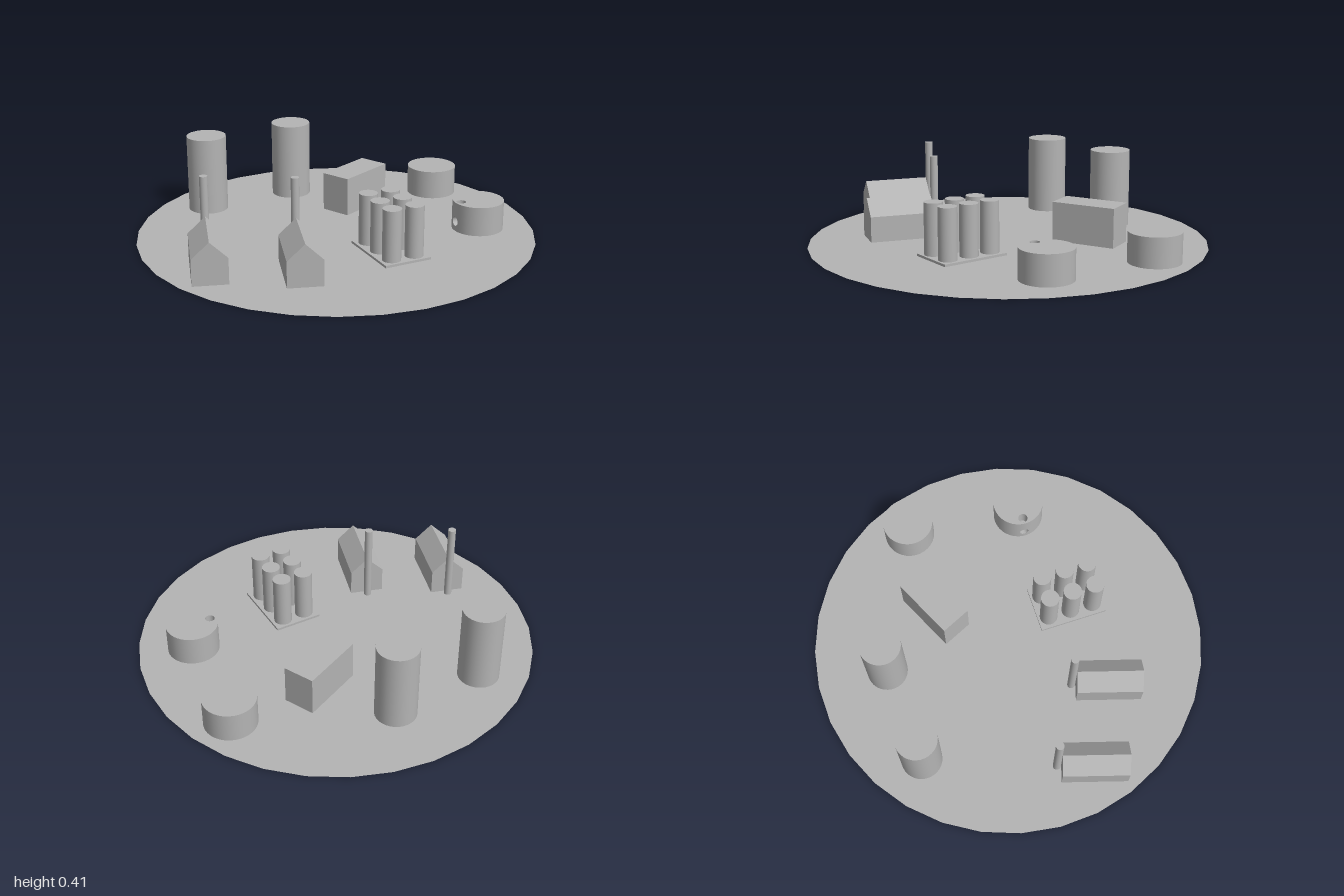
import * as THREE from 'three';

const grey = new THREE.MeshStandardMaterial({ color: 0xb4b4b4, side: THREE.DoubleSide });
grey.name = 'plain grey';

function add(parent, name, geometry, x = 0, y = 0, z = 0) {
  const mesh = new THREE.Mesh(geometry, grey);
  mesh.name = name;
  mesh.position.set(x, y, z);
  parent.add(mesh);
  return mesh;
}

function addGroup(parent, name, x, z, turn = 0) {
  const group = new THREE.Group();
  group.name = name;
  group.position.set(x, 0, z);
  group.rotation.y = turn;
  parent.add(group);
  return group;
}

// Upright cylinder standing at height y
function addCylinder(parent, name, r, h, x, z, y = 0) {
  return add(parent, name, new THREE.CylinderGeometry(r, r, h, 32), x, y + h / 2, z);
}

// Gabled shed with its ridge along z
function addShed(parent, x, z) {
  const shed = addGroup(parent, 'shed', x, z, -0.24);
  const w = 0.085, length = 0.33;
  const gable = new THREE.Shape([
    new THREE.Vector2(-w, 0), new THREE.Vector2(w, 0), new THREE.Vector2(w, 0.13),
    new THREE.Vector2(0, 0.21), new THREE.Vector2(-w, 0.13),
  ]);
  const body = new THREE.ExtrudeGeometry(gable, { depth: length, bevelEnabled: false });
  add(shed, 'shedBody', body, 0, 0, -length / 2);
}

// Low tank with a round well in its roof that leaves through its -x side
function addVentedTank(parent, x, z) {
  const tank = addGroup(parent, 'ventedTank', x, z);
  const R = 0.13, h = 0.15, r = 0.024, wellX = -0.097, outletY = 0.05, gap = 0.26;

  // Roof with the well opening
  const roof = new THREE.Shape().absarc(0, 0, R, 0, Math.PI * 2);
  roof.holes.push(new THREE.Path().absarc(wellX, 0, r, 0, Math.PI * 2, true));
  add(tank, 'tankRoof', new THREE.ShapeGeometry(roof, 32).rotateX(-Math.PI / 2), 0, h, 0);
  add(tank, 'tankFloor', new THREE.CircleGeometry(R, 32).rotateX(Math.PI / 2));

  // Wall, open towards -x where the outlet panel sits
  const wall = new THREE.CylinderGeometry(R, R, h, 32, 1, true, -Math.PI / 2 + gap, Math.PI * 2 - 2 * gap);
  add(tank, 'tankWall', wall, 0, h / 2, 0);

  // Outlet panel: a flat sheet with a round hole, bent to the wall's curve
  const sheet = new THREE.Shape();
  const s = gap * R, steps = 6;
  for (let i = 0; i <= steps; i++) {
    const u = -s + (2 * s * i) / steps;
    if (i) sheet.lineTo(u, 0); else sheet.moveTo(u, 0);
  }
  for (let i = steps; i >= 0; i--) sheet.lineTo(-s + (2 * s * i) / steps, h);
  sheet.holes.push(new THREE.Path().absarc(0, outletY, r, 0, Math.PI * 2, true));
  const panel = new THREE.ShapeGeometry(sheet, 24);
  const p = panel.attributes.position, n = panel.attributes.normal;
  for (let i = 0; i < p.count; i++) {
    const a = p.getX(i) / R;
    p.setXYZ(i, -R * Math.cos(a), p.getY(i), R * Math.sin(a));
    n.setXYZ(i, -Math.cos(a), 0, Math.sin(a));
  }
  add(tank, 'outletPanel', panel);

  // Linings of the well and the outlet
  const wellDepth = h - outletY - r * 0.6;
  add(tank, 'wellLining', new THREE.CylinderGeometry(r, r, wellDepth, 24, 1, true), wellX, h - wellDepth / 2, 0);
  const inner = wellX + r, outer = -R * 0.985;
  const outlet = new THREE.CylinderGeometry(r, r, inner - outer, 24, 1, true).rotateZ(Math.PI / 2);
  add(tank, 'outletLining', outlet, (inner + outer) / 2, outletY, 0);
  add(tank, 'outletEnd', new THREE.CircleGeometry(r, 24).rotateY(-Math.PI / 2), inner, outletY, 0);
}

export function createModel() {
  const model = new THREE.Group();
  model.name = 'industrialSite';

  // Round ground sheet
  add(model, 'ground', new THREE.CircleGeometry(1, 32).rotateX(-Math.PI / 2));

  // Sheds with a chimney behind each
  addShed(model, -0.746, 0.245);
  addShed(model, -0.357, 0.43);
  addCylinder(model, 'chimney', 0.02, 0.405, -0.702, 0.064);
  addCylinder(model, 'chimney', 0.02, 0.405, -0.313, 0.249);

  // Tall tanks and low tanks
  addCylinder(model, 'tallTank', 0.103, 0.4, -0.495, -0.578);
  addCylinder(model, 'tallTank', 0.103, 0.4, 0, -0.64);
  addCylinder(model, 'lowTank', 0.13, 0.15, 0.722, -0.354);
  addVentedTank(model, 0.684, 0.235);

  // Plain block building
  const block = addGroup(model, 'blockBuilding', 0.247, -0.325, 0.497);
  add(block, 'blockBody', new THREE.BoxGeometry(0.333, 0.2, 0.16), 0, 0.1, 0);

  // Six silos on a thin plate
  const silos = addGroup(model, 'siloBattery', 0.139, 0.352, 0.06);
  add(silos, 'siloPlate', new THREE.BoxGeometry(0.246, 0.012, 0.355), 0, 0.006, 0);
  for (const x of [-0.061, 0.061]) {
    for (const z of [-0.12, 0, 0.12]) addCylinder(silos, 'silo', 0.046, 0.258, x, z, 0.012);
  }

  return model;
}
